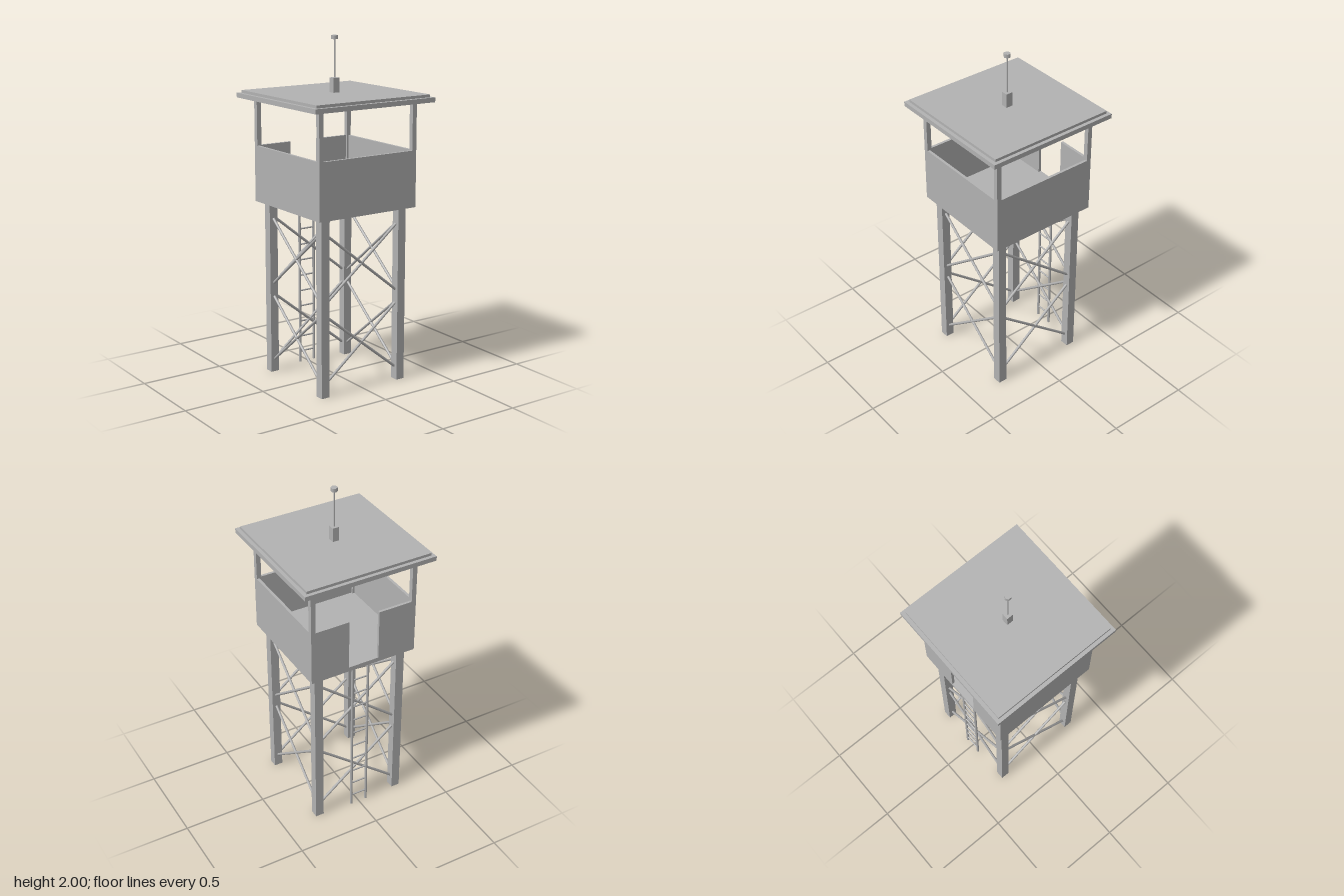
import * as THREE from 'three';

const grey = new THREE.MeshStandardMaterial({ color: 0xb2b2b2 });
grey.name = 'plain grey';

export function createModel() {
  const tower = new THREE.Group();
  tower.name = 'watchtower';

  const add = (name, geometry, x, y, z) => {
    const mesh = new THREE.Mesh(geometry, grey);
    mesh.name = name;
    mesh.position.set(x, y, z);
    tower.add(mesh);
    return mesh;
  };
  // Box given by its bottom height and top height
  const box = (name, w, d, y0, y1, x = 0, z = 0) =>
    add(name, new THREE.BoxGeometry(w, y1 - y0, d), x, (y0 + y1) / 2, z);
  // Round bar between two points
  const bar = (name, a, b, radius, sides = 8) => {
    const from = new THREE.Vector3(...a), to = new THREE.Vector3(...b);
    const dir = to.clone().sub(from);
    const mid = from.clone().add(to).multiplyScalar(0.5);
    const mesh = add(name, new THREE.CylinderGeometry(radius, radius, dir.length(), sides), mid.x, mid.y, mid.z);
    mesh.quaternion.setFromUnitVectors(new THREE.Vector3(0, 1, 0), dir.normalize());
  };

  const LEG = 0.265, FLOOR = 1.034, DECK = 1.06, RAIL = 1.363, EAVES = 1.637;

  // Legs and the posts that carry the roof
  for (const sx of [-1, 1]) {
    for (const sz of [-1, 1]) {
      box('leg', 0.052, 0.052, 0, FLOOR, sx * LEG, sz * LEG);
      box('roofPost', 0.028, 0.028, DECK, EAVES, sx * 0.316, sz * 0.316);
    }
  }

  // Two tiers of crossed braces on all four sides
  for (const [low, high] of [[0.08, 0.467], [0.55, 0.937]]) {
    for (const side of [-1, 1]) {
      for (const s of [-1, 1]) {
        bar('crossBrace', [-0.24 * s, low, side * LEG], [0.24 * s, high, side * LEG], 0.008);
        bar('crossBrace', [side * LEG, low, -0.24 * s], [side * LEG, high, 0.24 * s], 0.008);
      }
    }
  }

  // Ladder at the back
  const ladderZ = -0.294;
  for (const s of [-1, 1]) bar('ladderRail', [s * 0.05, 0, ladderZ], [s * 0.05, FLOOR, ladderZ], 0.008);
  for (let i = 0; i < 10; i++) {
    const y = 0.066 + i * 0.096;
    bar('ladderRung', [-0.05, y, ladderZ], [0.05, y, ladderZ], 0.005, 6);
  }

  // Cabin floor and parapet, with a doorway in the back wall
  const T = 0.016, wallAt = 0.33 - T / 2, door = 0.095;
  box('floor', 0.66, 0.66, FLOOR, DECK);
  box('frontWall', 0.66, T, DECK, RAIL, 0, wallAt);
  for (const s of [-1, 1]) {
    box('sideWall', T, 0.66 - 2 * T, DECK, RAIL, s * wallAt, 0);
    box('backWall', 0.33 - door, T, DECK, RAIL, s * (0.33 + door) / 2, -wallAt);
  }

  // Stepped flat roof
  box('roofSlab', 0.804, 0.804, EAVES, 1.664);
  box('roofTop', 0.762, 0.762, 1.664, 1.68);

  // Antenna with its base and tip
  box('antennaBase', 0.04, 0.04, 1.68, 1.763);
  bar('antennaMast', [0, 1.763, 0], [0, 1.98, 0], 0.004, 6);
  bar('antennaTip', [0, 1.978, 0], [0, 2, 0], 0.02, 6);

  return tower;
}
